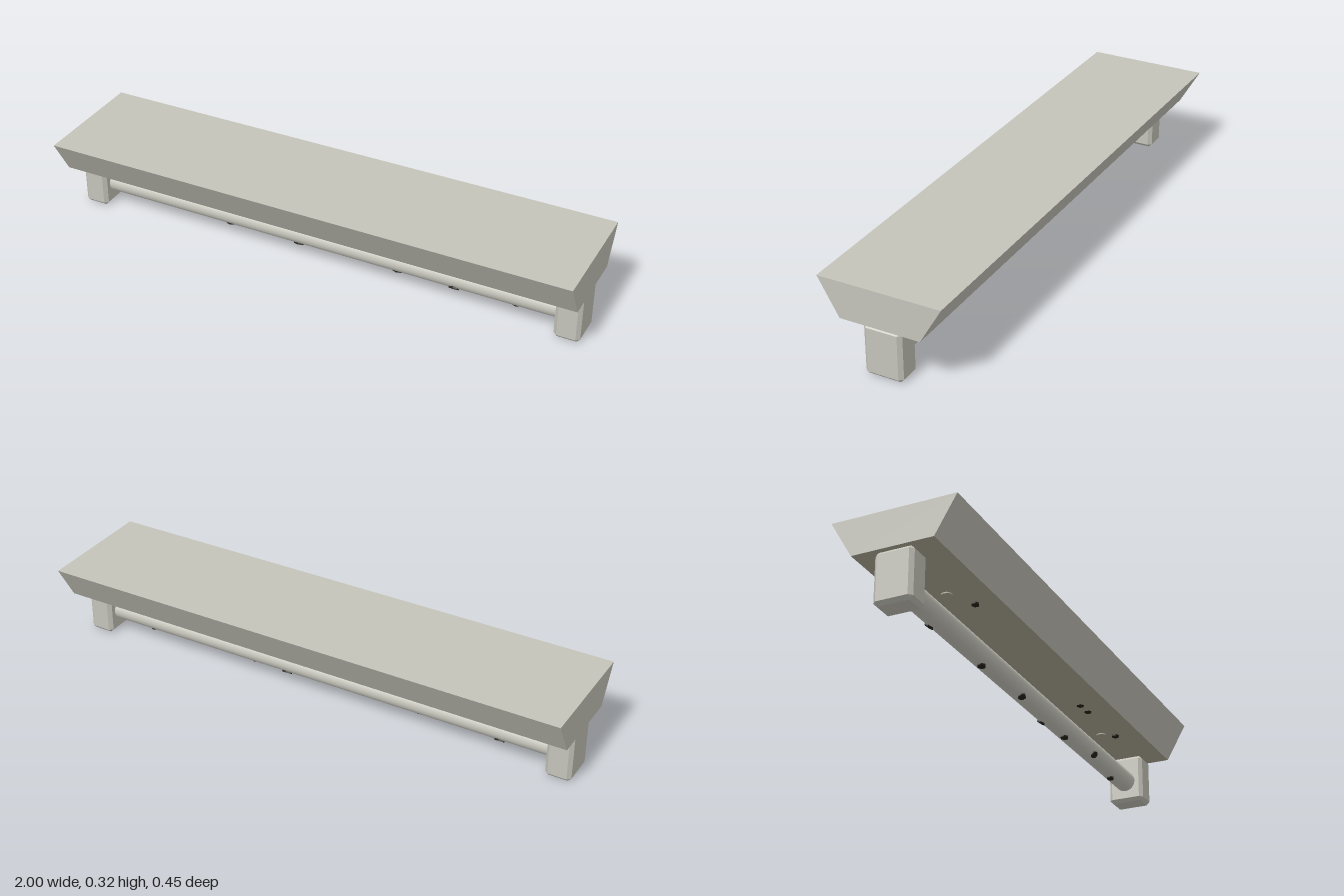
import * as THREE from 'three';
import { ConvexGeometry } from 'three/addons/geometries/ConvexGeometry.js';

const paint = (name, color) => {
  const m = new THREE.MeshStandardMaterial({ color });
  m.name = name;
  return m;
};

// Box with every edge cut at 45 degrees
function chamferBox(w, h, d, c) {
  const pts = [];
  for (const sx of [-1, 1]) for (const sy of [-1, 1]) for (const sz of [-1, 1]) {
    const [x, y, z] = [w / 2, h / 2, d / 2];
    pts.push(
      new THREE.Vector3(sx * x, sy * (y - c), sz * (z - c)),
      new THREE.Vector3(sx * (x - c), sy * y, sz * (z - c)),
      new THREE.Vector3(sx * (x - c), sy * (y - c), sz * z));
  }
  return new ConvexGeometry(pts);
}

export function createModel() {
  const group = new THREE.Group();
  const body = paint('warm grey metal', 0xc5c4ba);
  const under = paint('dull underside', 0xb0aa98);
  const glass = paint('pale tube glass', 0xcccbc1);
  const grime = paint('dark grime', 0x25231a);

  const add = (name, geometry, material, x = 0, y = 0, z = 0) => {
    const mesh = new THREE.Mesh(geometry, material);
    mesh.name = name;
    mesh.position.set(x, y, z);
    group.add(mesh);
    return mesh;
  };

  // Housing: a slab narrowing towards its underside
  const housing = new THREE.BoxGeometry(2, 0.135, 0.45);
  const p = housing.attributes.position;
  for (let i = 0; i < p.count; i++) if (p.getY(i) < 0) p.setZ(i, Math.sign(p.getZ(i)) * 0.147);
  const flat = housing.toNonIndexed();
  flat.computeVertexNormals();
  // face order: +x, -x, top, bottom, front, back
  add('housing', flat, [body, body, body, under, body, body], 0, 0.2565, 0);

  // Sockets at both ends and a screw disc inboard of each
  for (const side of [-1, 1]) {
    add('socket', chamferBox(0.095, 0.189, 0.14, 0.013), body, side * 0.945, 0.0945, 0);
    add('screwDisc', new THREE.CylinderGeometry(0.02, 0.02, 0.006, 16), under, side * 0.646, 0.187, 0.005);
  }

  // Light tube
  const tube = new THREE.CylinderGeometry(0.04, 0.04, 1.82, 32, 1, true);
  add('tube', tube, glass, 0, 0.083, 0).rotation.z = Math.PI / 2;

  // Specks on the lower side of the tube: x, angle from straight down towards the front
  const speck = new THREE.CylinderGeometry(0.018, 0.018, 0.008, 6).toNonIndexed();
  speck.computeVertexNormals();
  for (const [x, a] of [[0.74, 0], [0.515, 0.75], [0.29, 0.1], [0.14, -0.55],
    [-0.1, 0.4], [-0.39, 0.1], [-0.71, -0.6]]) {
    const m = add('tubeSpeck', speck, grime, x, 0.083 - 0.04 * Math.cos(a), 0.04 * Math.sin(a));
    m.rotation.x = -a;
    m.scale.set(1.1, 1, 0.8);
  }

  // Specks under the housing: x, z, thickness scale
  for (const [x, z, t] of [[0.675, 0.052, 0.75], [0.065, -0.08, 0.75], [-0.55, 0.06, 0.75],
    [0.42, 0.045, 0.2], [0.355, 0.042, 0.2]]) {
    add('housingSpeck', speck, grime, x, 0.189 - 0.004 * t, z).scale.set(0.9, t, 0.8);
  }
  return group;
}
